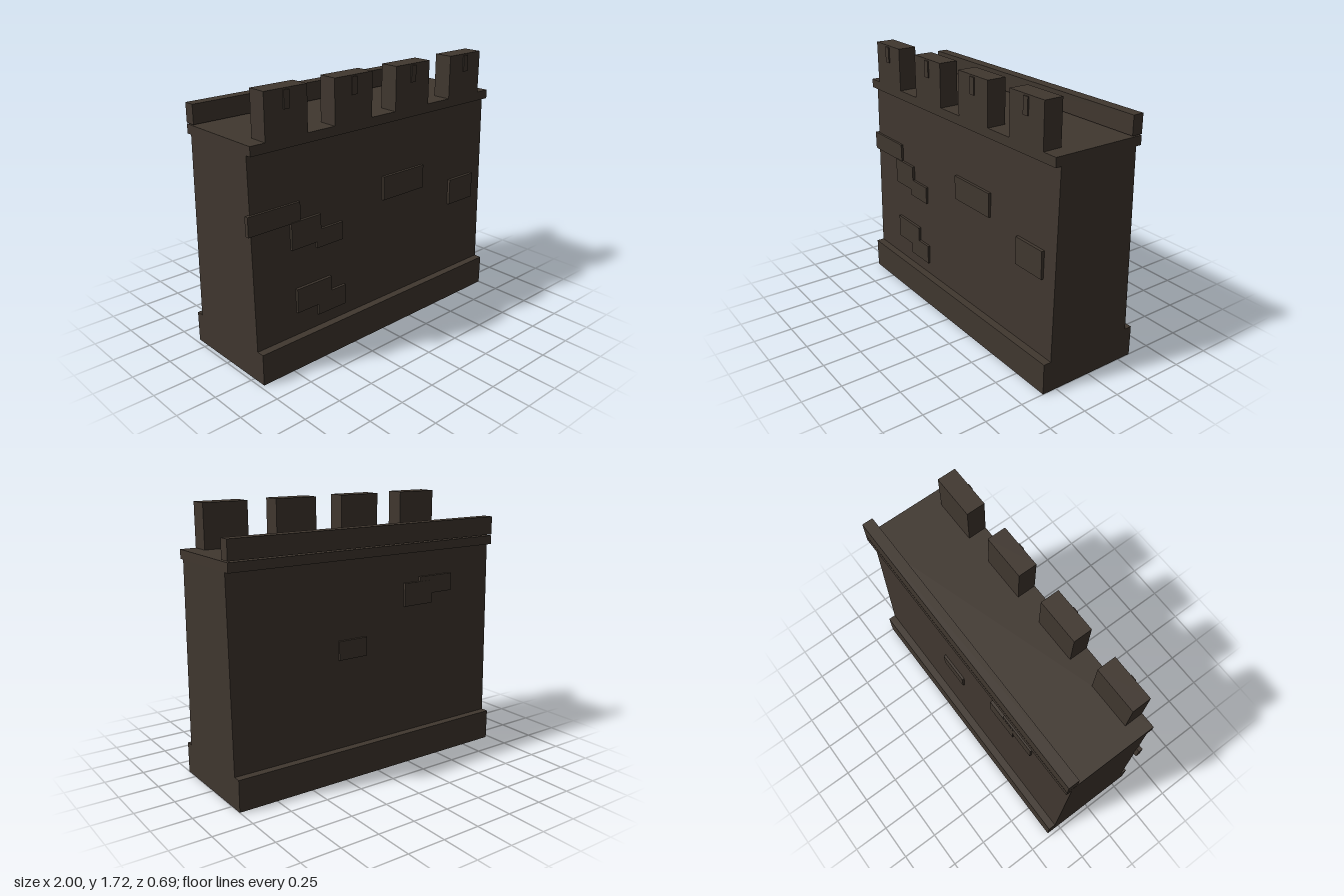
import * as THREE from 'three';

export function createModel() {
  const group = new THREE.Group();
  group.name = 'battlementWall';
  const stone = new THREE.MeshStandardMaterial({ color: 0x40372f });
  stone.name = 'dark stone';

  const X0 = -0.975, X1 = 1;

  // Box given by its limits on each axis
  function block(name, x0, x1, y0, y1, z0, z1) {
    const mesh = new THREE.Mesh(new THREE.BoxGeometry(x1 - x0, y1 - y0, z1 - z0), stone);
    mesh.position.set((x0 + x1) / 2, (y0 + y1) / 2, (z0 + z1) / 2);
    mesh.name = name;
    group.add(mesh);
  }

  // Tapered wall: cross-section in (z, y), swept along x
  const half = [[0.295, 0.2], [0.27, 1.385]];
  const section = new THREE.Shape([
    ...half.map(([z, y]) => new THREE.Vector2(z, y)),
    ...half.map(([z, y]) => new THREE.Vector2(-z, y)).reverse(),
  ]);
  const wallGeo = new THREE.ExtrudeGeometry(section, { depth: X1 - X0, bevelEnabled: false });
  wallGeo.rotateY(-Math.PI / 2).translate(X1, 0, 0);
  const wall = new THREE.Mesh(wallGeo, stone);
  wall.name = 'wall';
  group.add(wall);

  // Plinth, walkway slab and low rear parapet
  block('plinth', X0, X1, 0, 0.2, -0.345, 0.345);
  block('walkway', X0, X1, 1.385, 1.443, -0.308, 0.308);
  block('rearParapet', X0, X1, 1.45, 1.57, -0.308, -0.236);

  // Merlons, each with a thin arrow slit panel
  for (let i = 0; i < 4; i++) {
    const x = -0.728 + i * 0.493;
    block('merlon', x - 0.147, x + 0.147, 1.443, 1.72, 0.185, 0.308);
    block('arrowSlit', x - 0.02, x + 0.02, 1.605, 1.71, 0.308, 0.316);
  }

  // Raised bricks on the front: outlines in (x, y), then z of the face
  const frontBricks = [
    [[[-1, 0.925], [-0.705, 0.925], [-0.635, 0.93], [-0.635, 1.045], [-1, 1.045]], 0.293],
    [[[-0.705, 0.76], [-0.515, 0.76], [-0.515, 0.72], [-0.315, 0.72], [-0.315, 0.835],
      [-0.485, 0.835], [-0.485, 0.93], [-0.705, 0.93]], 0.298],
    [[[-0.68, 0.35], [-0.52, 0.35], [-0.52, 0.28], [-0.3, 0.28], [-0.3, 0.41],
      [-0.415, 0.41], [-0.415, 0.505], [-0.68, 0.505]], 0.307],
    [[[0.035, 0.88], [0.395, 0.88], [0.395, 1.035], [0.035, 1.035]], 0.296],
    [[[0.665, 0.69], [0.9, 0.69], [0.9, 0.865], [0.665, 0.865]], 0.301],
  ];
  for (const [points, z] of frontBricks) {
    const shape = new THREE.Shape(points.map(([x, y]) => new THREE.Vector2(x, y)));
    const geo = new THREE.ExtrudeGeometry(shape, { depth: 0.028, bevelEnabled: false });
    const brick = new THREE.Mesh(geo, stone);
    brick.position.z = z - 0.028;
    brick.name = 'frontBrick';
    group.add(brick);
  }

  // Raised bricks on the back
  block('backBrick', 0.06, 0.265, 0.77, 0.89, -0.296, -0.26);
  block('backBrick', -0.47, -0.245, 1.04, 1.19, -0.291, -0.26);
  block('backBrick', -0.635, -0.37, 1.105, 1.22, -0.29, -0.26);

  return group;
}
